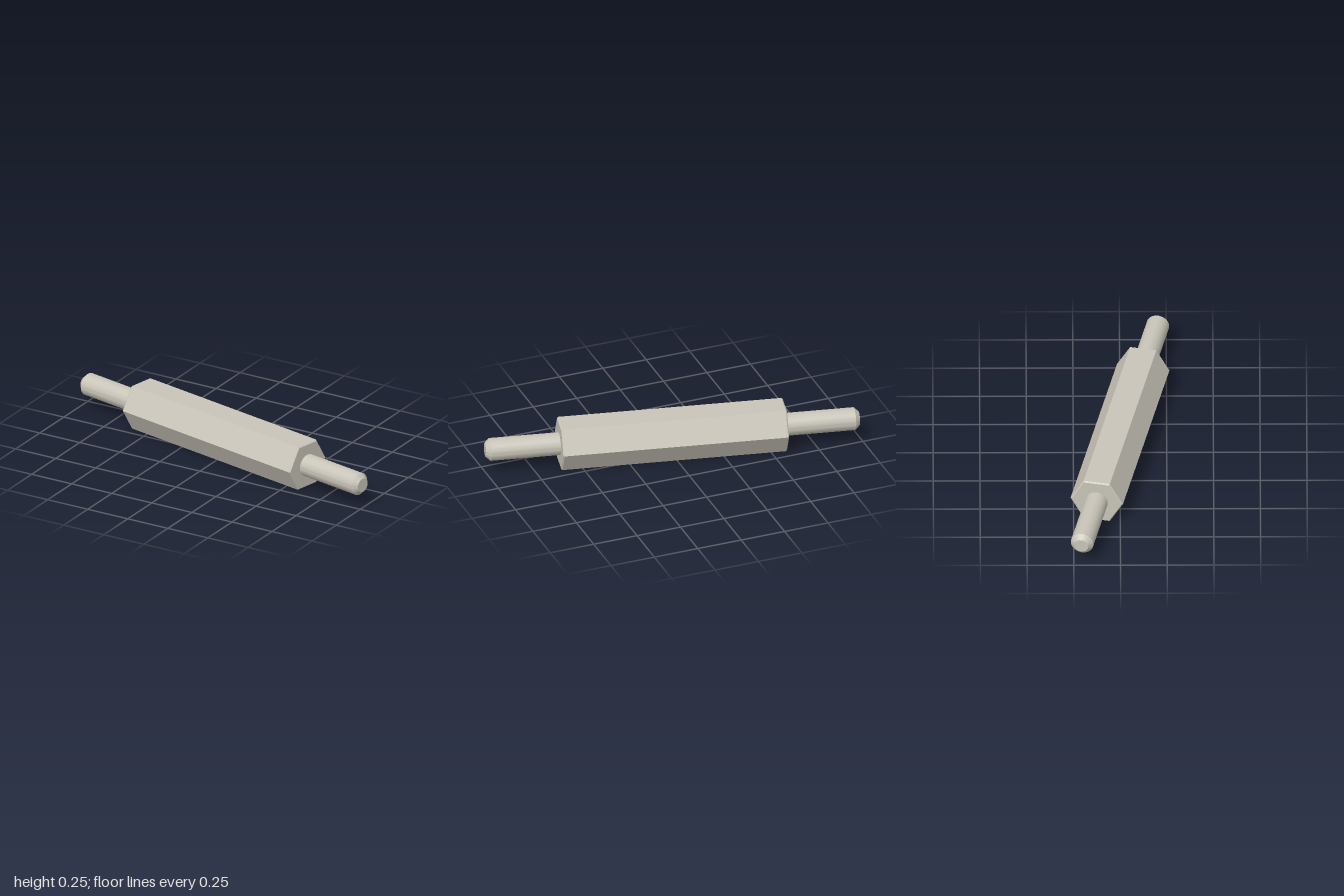
import * as THREE from 'three';
import { toCreasedNormals } from 'three/addons/utils/BufferGeometryUtils.js';

const HALF_ROD = 1.015, ROD_R = 0.0615, TIP_R = 0.038, TIP_LEN = 0.025;
const HALF_HEX = 0.613, HEX_APOTHEM = 0.124, BEVEL = 0.007;
const HEX_R = HEX_APOTHEM / Math.cos(Math.PI / 6);

// Solid bar along x with bevelled, capped ends
function bar(name, half, radius, endRadius, bevelLength, sides, material) {
  const profile = [
    [0, -half], [endRadius, -half], [radius, -half + bevelLength],
    [radius, half - bevelLength], [endRadius, half], [0, half],
  ].map(([r, y]) => new THREE.Vector2(r, y));
  const geometry = toCreasedNormals(new THREE.LatheGeometry(profile, sides), 0.5);
  geometry.rotateZ(-Math.PI / 2);
  const mesh = new THREE.Mesh(geometry, material);
  mesh.name = name;
  return mesh;
}

export function createModel() {
  const metal = new THREE.MeshStandardMaterial({ color: 0xc8c4b8 });
  metal.name = 'warm grey metal';

  const model = new THREE.Group();
  model.name = 'hexStandoff';

  // The whole part lies flat, turned slightly about the vertical
  const standoff = new THREE.Group();
  standoff.name = 'standoff';
  standoff.position.y = HEX_APOTHEM;
  standoff.rotation.y = -THREE.MathUtils.degToRad(12);

  // Hexagonal body, and the round rod that forms both end studs
  standoff.add(
    bar('hexBody', HALF_HEX, HEX_R, HEX_R - BEVEL, BEVEL, 6, metal),
    bar('studRod', HALF_ROD, ROD_R, TIP_R, TIP_LEN, 64, metal),
  );
  model.add(standoff);
  return model;
}
